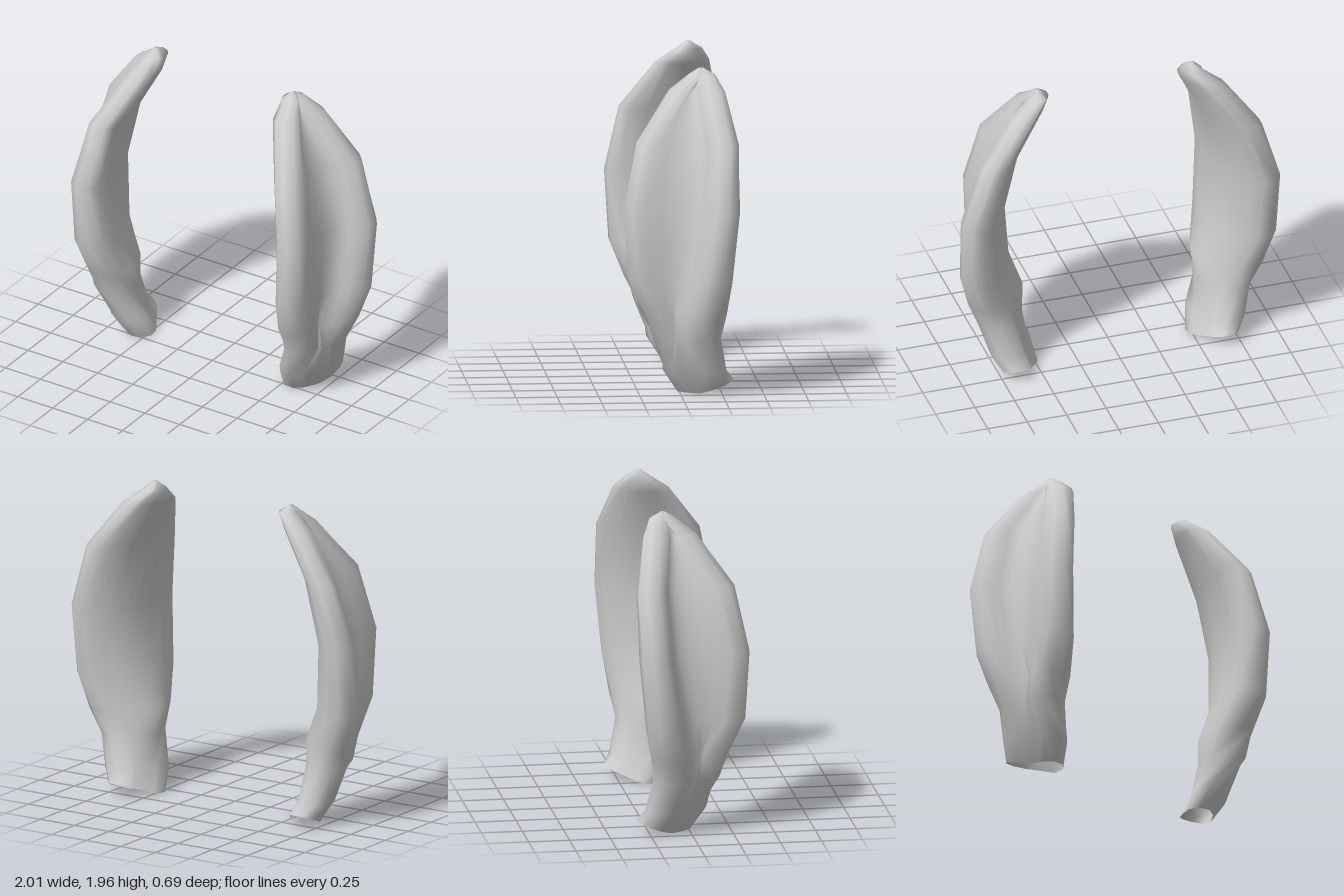
import * as THREE from 'three';

// Horizontal slices of the left ear, bottom to top:
// y, front rim (x, z), middle of shell (x, z), back rim (x, z),
// rim radius, half thickness on the hollow side, half thickness on the outer shell
const SLICES = [
  [0.00, 0.56, -0.075, 0.607, -0.157, 0.655, -0.24, 0.09, 0.09, 0.09],
  [0.14, 0.60, 0.00, 0.65, -0.085, 0.70, -0.18, 0.105, 0.11, 0.11],
  [0.35, 0.675, 0.065, 0.685, -0.03, 0.755, -0.13, 0.11, 0.13, 0.125],
  [0.50, 0.685, 0.125, 0.665, -0.02, 0.82, -0.16, 0.11, 0.145, 0.115],
  [0.72, 0.72, 0.22, 0.705, -0.05, 0.89, -0.20, 0.107, 0.135, 0.06],
  [1.14, 0.735, 0.252, 0.73, -0.09, 0.91, -0.25, 0.098, 0.105, 0.045],
  [1.54, 0.66, 0.178, 0.65, -0.105, 0.80, -0.26, 0.09, 0.085, 0.05],
  [1.83, 0.515, -0.02, 0.51, -0.12, 0.59, -0.20, 0.08, 0.08, 0.065],
  [1.92, 0.485, -0.12, 0.48, -0.145, 0.495, -0.17, 0.055, 0.055, 0.055],
  [1.96, 0.495, -0.135, 0.495, -0.14, 0.495, -0.145, 0.012, 0.012, 0.012],
];
const SPAN = 8;

// Closed crescent outline with rounded rims at both ends
function sliceOutline([, fx, fz, mx, mz, bx, bz, r, hollow, shell]) {
  const front = new THREE.Vector2(fx, fz), back = new THREE.Vector2(bx, bz);
  const control = new THREE.Vector2(2 * mx - (fx + bx) / 2, 2 * mz - (fz + bz) / 2);
  const curve = new THREE.QuadraticBezierCurve(front, control, back);
  const points = [];
  const add = (s, angle, radius) => {
    const p = curve.getPoint(s), t = curve.getTangent(s);
    const c = Math.cos(angle) * radius, d = Math.sin(angle) * radius;
    points.push([p.x - t.y * c + t.x * d, p.y + t.x * c + t.y * d]);
  };
  const half = (s, middle) => THREE.MathUtils.lerp(middle, r, (2 * s - 1) ** 2);
  for (let i = 0; i <= SPAN; i++) add(i / SPAN, 0, half(i / SPAN, hollow));
  for (let k = 1; k < 4; k++) add(1, k * Math.PI / 4, r);
  for (let i = SPAN; i >= 0; i--) add(i / SPAN, Math.PI, half(i / SPAN, shell));
  for (let k = 5; k < 8; k++) add(0, k * Math.PI / 4, r);
  return points;
}

function makeEar(side, material) {
  const positions = [], index = [];
  let n = 0;
  SLICES.forEach((slice, level) => {
    const outline = sliceOutline(slice);
    n = outline.length;
    for (const [x, z] of outline) {
      // the open base rises toward the back
      const lift = level ? 0 : 0.08 * THREE.MathUtils.clamp((-0.12 - z) / 0.21, 0, 1);
      positions.push(side * x, slice[0] + lift, z);
    }
  });
  const last = SLICES.length - 1;
  for (let i = 0; i < last; i++) {
    for (let j = 0; j < n; j++) {
      const a = i * n + j, b = i * n + (j + 1) % n;
      index.push(a, b, b + n, a, b + n, a + n);
    }
  }
  // close the tip
  for (let j = 1; j < n - 1; j++) index.push(last * n, last * n + j, last * n + j + 1);
  // mirrored corners need the opposite order
  if (side < 0) index.reverse();

  const geometry = new THREE.BufferGeometry();
  geometry.setAttribute('position', new THREE.Float32BufferAttribute(positions, 3));
  geometry.setIndex(index);
  geometry.computeVertexNormals();
  const ear = new THREE.Mesh(geometry, material);
  ear.name = side > 0 ? 'leftEar' : 'rightEar';
  return ear;
}

export function createModel() {
  const model = new THREE.Group();
  model.name = 'earPair';
  // the base is open, so the inside shows too
  const material = new THREE.MeshStandardMaterial({ color: 0xcccccc, side: THREE.DoubleSide });
  material.name = 'light grey';
  for (const side of [1, -1]) model.add(makeEar(side, material));
  return model;
}
